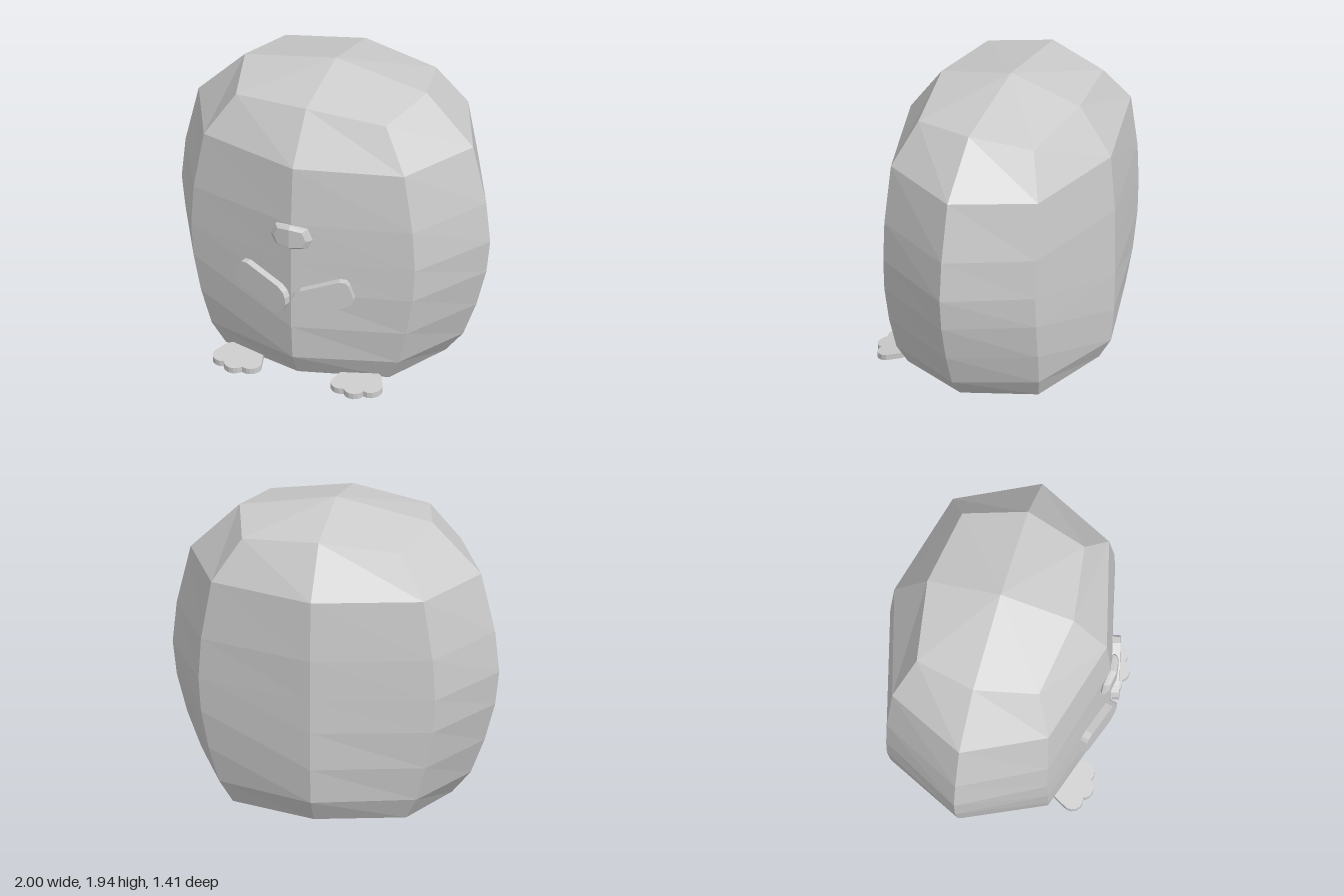
import * as THREE from 'three';

const grey = new THREE.MeshStandardMaterial({ color: 0xcccccc });
grey.name = 'plain grey';

function facetedMesh(geometry, name) {
  const g = geometry.index ? geometry.toNonIndexed() : geometry;
  g.computeVertexNormals();
  const mesh = new THREE.Mesh(g, grey);
  mesh.name = name;
  return mesh;
}

// Joins equal-sized rings of [x, y, z] points and closes both ends with fans
function loft(rings, start, end) {
  const n = rings[0].length, pos = [...rings.flat(2), ...start, ...end], idx = [];
  const s = rings.length * n, e = s + 1, last = s - n;
  for (let k = 0; k < n; k++) {
    const m = (k + 1) % n;
    for (let i = 0; i < rings.length - 1; i++) {
      const a = i * n + k, b = i * n + m;
      idx.push(a, b, a + n, b, b + n, a + n);
    }
    idx.push(s, m, k, e, last + k, last + m);
  }
  const g = new THREE.BufferGeometry();
  g.setAttribute('position', new THREE.Float32BufferAttribute(pos, 3));
  g.setIndex(idx);
  return g;
}

// Eight-sided ring: side point, corner and front point, mirrored both ways
function bodyRing([y, side, cx, cz, front, cornerY = y]) {
  const z0 = -0.02;
  return [
    [side, y, z0], [cx, cornerY, z0 - cz], [0, y, z0 - front], [-cx, cornerY, z0 - cz],
    [-side, y, z0], [-cx, cornerY, z0 + cz], [0, y, z0 + front], [cx, cornerY, z0 + cz],
  ];
}

function polygon(points) {
  return new THREE.Shape(points.map(p => new THREE.Vector2(...p)));
}

// Moves every vertex of a geometry by a rule
function reshape(g, rule) {
  const p = g.attributes.position;
  for (let i = 0; i < p.count; i++) p.setXYZ(i, ...rule(p.getX(i), p.getY(i), p.getZ(i)));
  return g;
}

export function createModel() {
  const model = new THREE.Group();
  model.name = 'roundCreature';

  // Body: y, side x, corner x, corner z, front z, corner y
  const profile = [
    [0.025, 0.46, 0.36, 0.29, 0.37],
    [0.09, 0.71, 0.53, 0.43, 0.58],
    [0.23, 0.825, 0.605, 0.47, 0.66],
    [0.45, 0.91, 0.665, 0.49, 0.68],
    [0.69, 0.975, 0.71, 0.5, 0.685],
    [0.9, 1.0, 0.725, 0.5, 0.685],
    [1.16, 0.975, 0.71, 0.5, 0.685],
    [1.53, 0.89, 0.65, 0.485, 0.66],
    [1.835, 0.59, 0.487, 0.38, 0.455, 1.785],
  ];
  model.add(facetedMesh(loft(profile.map(bodyRing), [0, 0.005, -0.02], [0, 1.945, -0.02]), 'body'));

  // Nose: a small faceted oval
  const oval = [[0.132, 0], [0.1, 0.07], [0, 0.082], [-0.1, 0.07],
    [-0.132, 0], [-0.1, -0.062], [0, -0.075], [-0.1, -0.062]];
  oval[7] = [0.1, -0.062];
  const noseRing = (s, z) => oval.map(([x, y]) => [x * s, 1.075 + y * s, z - Math.abs(x) * 0.12]);
  model.add(facetedMesh(
    loft([noseRing(0.8, 0.645), noseRing(1, 0.66), noseRing(1, 0.678), noseRing(0.78, 0.7)],
      [0, 1.075, 0.64], [0, 1.075, 0.7]), 'nose'));

  // Cheek plate lying on the slanted front of the body
  const cheekOutline = polygon([
    [0.02, 0.62], [0.045, 0.57], [0.09, 0.553], [0.125, 0.558], [0.335, 0.64], [0.37, 0.663],
    [0.386, 0.7], [0.358, 0.785], [0.34, 0.808], [0.3, 0.812], [0.07, 0.73], [0.035, 0.7], [0.02, 0.665],
  ]);

  // Three-toed foot drawn in x and -z
  const toes = [[0.295, 0.575, 0.07, 10, 115], [0.388, 0.595, 0.072, 35, 145], [0.478, 0.56, 0.068, 65, 190]];
  const footPoints = [];
  for (const [x, z, r, from, to] of toes) {
    for (let i = 0; i <= 5; i++) {
      const a = THREE.MathUtils.degToRad(from + (to - from) * i / 5);
      footPoints.push([x - r * Math.cos(a), -(z + r * Math.sin(a))]);
    }
  }
  footPoints.push([0.5, -0.46], [0.44, -0.42], [0.33, -0.42], [0.26, -0.46]);
  const footOutline = polygon(footPoints);

  for (const [side, label] of [[1, 'left'], [-1, 'right']]) {
    const mirror = (g, name) => {
      // Swap two corners of each triangle when flipping across x
      const flat = g.index ? g.toNonIndexed() : g;
      if (side < 0) {
        const p = flat.attributes.position, a = new THREE.Vector3(), b = new THREE.Vector3();
        for (let i = 0; i < p.count; i += 3) {
          a.fromBufferAttribute(p, i + 1);
          b.fromBufferAttribute(p, i + 2);
          p.setXYZ(i + 1, b.x, b.y, b.z);
          p.setXYZ(i + 2, a.x, a.y, a.z);
        }
        reshape(flat, (x, y, z) => [-x, y, z]);
      }
      model.add(facetedMesh(flat, name));
    };

    const cheek = new THREE.ExtrudeGeometry(cheekOutline, { depth: 0.045, bevelEnabled: false });
    mirror(reshape(cheek, (x, y, z) => [x + 0.25 * (z - 0.045), y, 0.67 - 0.26 * x + z]), label + 'Cheek');

    const foot = new THREE.ExtrudeGeometry(footOutline, { depth: 0.036, bevelEnabled: false });
    foot.rotateX(-Math.PI / 2);
    mirror(reshape(foot, (x, y, z) => [x, y + 0.045 + 0.17 * (0.665 - z), z]), label + 'Foot');
  }
  return model;
}
